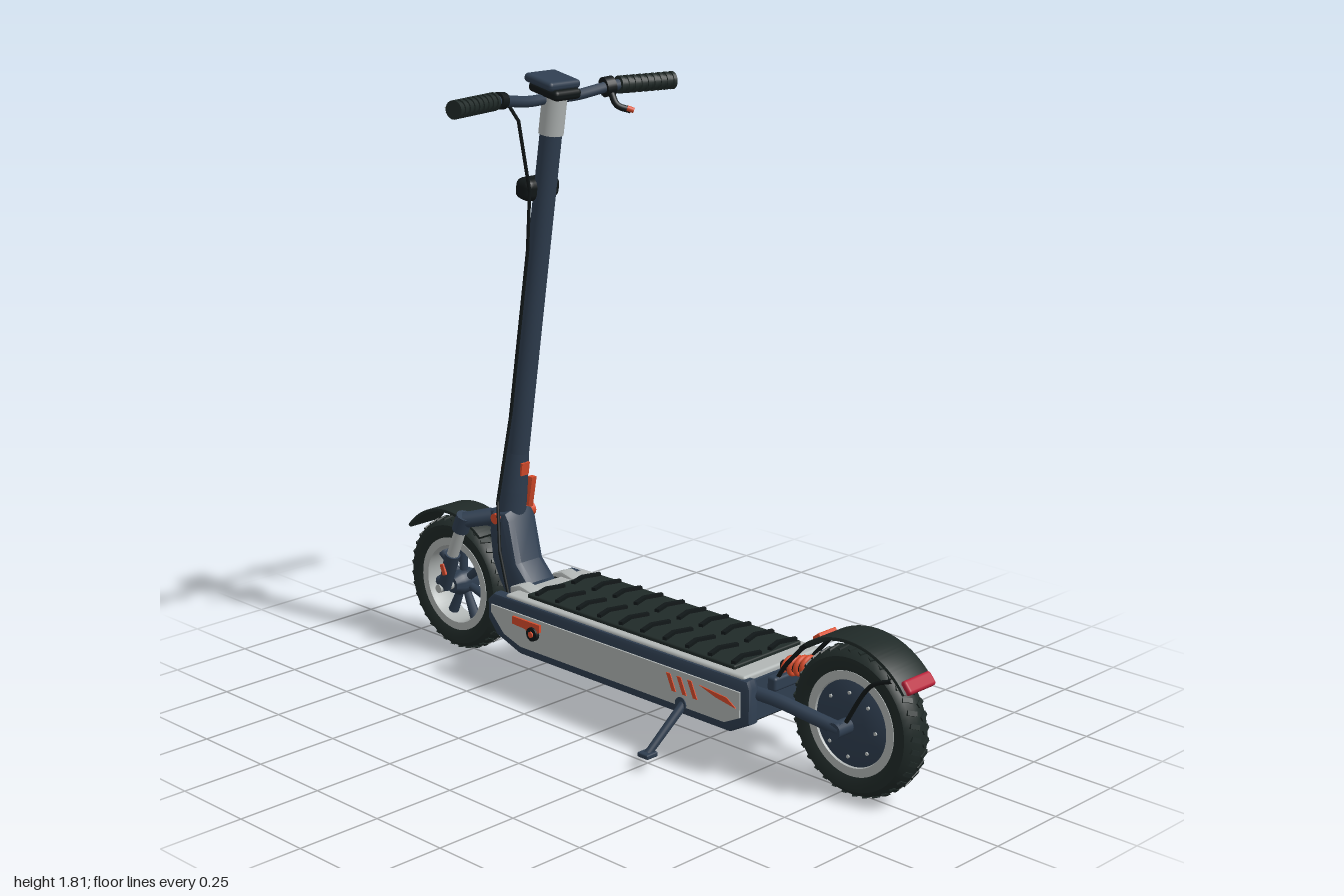
import * as THREE from 'three';
import { toCreasedNormals } from 'three/addons/utils/BufferGeometryUtils.js';
import { RoundedBoxGeometry } from 'three/addons/geometries/RoundedBoxGeometry.js';

const paint = (name, color, extra = {}) => Object.assign(new THREE.MeshStandardMaterial({ color, ...extra }), { name });

export function createModel() {
  const navy = paint('navy frame', 0x2f3e50);
  const rubber = paint('rubber', 0x202a28);
  const black = paint('black trim', 0x111718);
  const silver = paint('silver', 0xb2b7b6);
  const orange = paint('orange accent', 0xd84c2b);
  const red = paint('red lens', 0xb8223a);
  const lens = paint('lamp lens', 0xd6dad8);

  const model = new THREE.Group();
  model.name = 'kickScooter';
  const V = (x, y, z) => new THREE.Vector3(x, y, z);
  const UP = V(0, 1, 0);

  function add(name, geo, mat, pos = [0, 0, 0], rot = [0, 0, 0], parent = model) {
    const m = new THREE.Mesh(geo, mat);
    m.name = name;
    m.position.set(...pos);
    m.rotation.set(...rot);
    parent.add(m);
    return m;
  }
  const box = (name, mat, size, pos, rot, r = 0) =>
    add(name, r ? new RoundedBoxGeometry(...size, 2, r) : new THREE.BoxGeometry(...size), mat, pos, rot);
  // Tapered rod from a to b
  function rod(name, mat, a, b, ra, rb = ra, seg = 20) {
    const p = V(...a), q = V(...b);
    const m = add(name, new THREE.CylinderGeometry(rb, ra, p.distanceTo(q), seg), mat);
    m.position.copy(p).lerp(q, 0.5);
    m.quaternion.setFromUnitVectors(UP, q.sub(p).normalize());
    return m;
  }
  const tube = (name, mat, pts, r, n = 40) =>
    add(name, new THREE.TubeGeometry(new THREE.CatmullRomCurve3(pts.map(p => V(...p))), n, r, 10), mat);
  // Side outline given as [z, y], extruded across x and centred on x = cx
  function slab(name, mat, outline, width, cx = 0, bevel = 0) {
    const shape = outline instanceof THREE.Shape ? outline : new THREE.Shape(outline.map(p => new THREE.Vector2(...p)));
    const depth = width - 2 * bevel;
    const g = new THREE.ExtrudeGeometry(shape, {
      depth, curveSegments: 32, bevelEnabled: bevel > 0,
      bevelSize: bevel, bevelThickness: bevel, bevelOffset: -bevel, bevelSegments: 2,
    });
    g.translate(0, 0, -depth / 2).rotateY(-Math.PI / 2);
    return add(name, toCreasedNormals(g, 0.6), mat, [cx, 0, 0]);
  }
  const lathe = (pts, seg = 56) => toCreasedNormals(
    new THREE.LatheGeometry(pts.map(p => new THREE.Vector2(...p)), seg).rotateZ(Math.PI / 2), 0.6);
  const sides = fn => [-1, 1].forEach(fn);

  // Wheels, with tyres, treads and rims
  function wheel(name, z) {
    const g = new THREE.Group();
    g.name = name;
    g.position.set(0, 0.21, z);
    model.add(g);
    add('tyre', lathe([[0.142, -0.036], [0.165, -0.047], [0.186, -0.046], [0.2, -0.033], [0.206, -0.012],
      [0.206, 0.012], [0.2, 0.033], [0.186, 0.046], [0.165, 0.047], [0.142, 0.036]]), rubber, [0, 0, 0], [0, 0, 0], g);
    add('rim', lathe([[0.118, -0.03], [0.122, -0.04], [0.146, -0.04], [0.146, 0.04], [0.122, 0.04], [0.118, 0.03], [0.118, -0.03]]),
      silver, [0, 0, 0], [0, 0, 0], g);
    const lug = new THREE.BoxGeometry(0.03, 0.008, 0.013);
    for (let i = 0; i < 36; i++) sides(s => {
      const a = (i + s * 0.25) / 36 * Math.PI * 2;
      const m = add('treadLug', lug, rubber, [s * 0.02, Math.cos(a) * 0.203, Math.sin(a) * 0.203], [0, 0, 0], g);
      m.rotation.set(a, s * 0.4, -s * 0.2);
    });
    return g;
  }
  const front = wheel('frontWheel', -0.79);
  for (let i = 0; i < 7; i++) {
    const a = i / 7 * Math.PI * 2;
    add('spoke', new THREE.CylinderGeometry(0.017, 0.011, 0.105, 8), navy,
      [0, Math.cos(a) * 0.073, Math.sin(a) * 0.073], [a, 0, 0], front);
  }
  add('frontHub', lathe([[0, -0.05], [0.025, -0.05], [0.038, -0.025], [0.038, 0.025], [0.025, 0.05], [0, 0.05]], 28), navy, [0, 0, 0], [0, 0, 0], front);

  const rear = wheel('rearWheel', 0.79);
  add('hubMotor', lathe([[0, -0.052], [0.06, -0.05], [0.1, -0.042], [0.12, -0.034], [0.12, 0.034], [0.1, 0.042], [0.06, 0.05], [0, 0.052]]),
    navy, [0, 0, 0], [0, 0, 0], rear);
  for (let i = 0; i < 8; i++) sides(s => {
    const a = i / 8 * Math.PI * 2;
    add('motorBolt', new THREE.CylinderGeometry(0.005, 0.005, 0.01, 8), silver,
      [s * 0.043, Math.cos(a) * 0.09, Math.sin(a) * 0.09], [0, 0, Math.PI / 2], rear);
  });

  // Fenders: arcs measured in degrees from straight up, positive towards +z
  function fender(name, z, from, to) {
    const s = new THREE.Shape();
    const a0 = THREE.MathUtils.degToRad(90 - to), a1 = THREE.MathUtils.degToRad(90 - from);
    s.absarc(z, 0.21, 0.242, a0, a1, false);
    s.absarc(z, 0.21, 0.231, a1, a0, true);
    slab(name, rubber, s, 0.126, 0, 0.003);
  }
  fender('frontFender', -0.79, -50, 38);
  fender('rearFender', 0.79, -43, 54);
  box('tailLamp', red, [0.108, 0.04, 0.022], [0, 0.366, 0.98], [-0.7, 0, 0], 0.008);
  box('fenderAccent', orange, [0.07, 0.014, 0.03], [0, 0.418, 0.664], [-0.65, 0, 0], 0.004);
  sides(s => {
    tube('fenderStay', black, [[s * 0.064, 0.38, 0.945], [s * 0.067, 0.35, 0.88], [s * 0.07, 0.21, 0.79]], 0.006, 16);
    tube('fenderFrontStay', black, [[s * 0.06, 0.4, 0.65], [s * 0.06, 0.33, 0.585], [s * 0.05, 0.27, 0.54]], 0.006, 16);
  });

  // Deck
  slab('deckCore', navy, [[0.53, 0.285], [0.53, 0.17], [0.47, 0.132], [-0.36, 0.132], [-0.43, 0.18], [-0.43, 0.285]], 0.28);
  box('deckUnderside', black, [0.25, 0.012, 0.82], [0, 0.13, 0.05]);
  const railShape = [[0.535, 0.293], [0.545, 0.27], [0.545, 0.17], [0.47, 0.13], [-0.36, 0.13], [-0.46, 0.165], [-0.497, 0.21], [-0.497, 0.27], [-0.47, 0.293]];
  const panelShape = [[0.515, 0.258], [0.515, 0.185], [0.46, 0.158], [-0.35, 0.158], [-0.42, 0.18], [-0.475, 0.235], [-0.475, 0.258]];
  sides(s => {
    slab('sideRail', navy, railShape, 0.042, s * 0.145, 0.012);
    slab('sidePanel', silver, panelShape, 0.008, s * 0.167);
    slab('sideSwoosh', orange, [[0.505, 0.21], [0.47, 0.232], [0.37, 0.24], [0.43, 0.222]], 0.004, s * 0.172);
    [0.35, 0.31, 0.27].forEach(z => slab('sideStripe', orange,
      [[z + 0.012, 0.195], [z - 0.003, 0.195], [z - 0.025, 0.243], [z - 0.01, 0.243]], 0.004, s * 0.172));
    slab('portSurround', orange, [[-0.26, 0.248], [-0.26, 0.225], [-0.3, 0.205], [-0.32, 0.222], [-0.375, 0.225], [-0.375, 0.248]], 0.01, s * 0.173);
    rod('chargePort', black, [s * 0.165, 0.215, -0.288], [s * 0.184, 0.215, -0.288], 0.021);
    rod('portCap', orange, [s * 0.18, 0.215, -0.288], [s * 0.188, 0.215, -0.288], 0.009);
  });
  box('deckTrim', silver, [0.316, 0.022, 0.945], [0, 0.289, 0.048], [0, 0, 0], 0.008);
  box('gripMat', rubber, [0.272, 0.014, 0.82], [0, 0.304, 0.055], [0, 0, 0], 0.005);
  for (let i = 0; i < 10; i++) {
    const z = -0.33 + i * 0.086;
    sides(s => [[0.046, -1], [0.1, 1]].forEach(([x, d]) =>
      box('matChevron', black, [0.06, 0.012, 0.013], [s * x, 0.314, z], [0, -s * d * 0.3, 0])));
  }

  // Neck between deck and stem
  slab('neck', navy, [[-0.36, 0.29], [-0.437, 0.3], [-0.487, 0.35], [-0.517, 0.475], [-0.535, 0.5], [-0.6, 0.49],
    [-0.61, 0.43], [-0.6, 0.34], [-0.57, 0.28], [-0.49, 0.17], [-0.42, 0.155], [-0.36, 0.16]], 0.12, 0, 0.024);
  slab('neckBase', black, [[-0.4, 0.298], [-0.46, 0.292], [-0.485, 0.24], [-0.46, 0.18], [-0.4, 0.17]], 0.16, 0, 0.015);
  sides(s => slab('neckGusset', silver, [[-0.36, 0.302], [-0.42, 0.315], [-0.46, 0.3], [-0.46, 0.28], [-0.36, 0.28]], 0.05, s * 0.085, 0.008));

  // Stem leans along one line
  const stemZ = y => -0.565 + (y - 0.5) * 0.164;
  const on = (y, x = 0, dz = 0) => [x, y, stemZ(y) + dz];
  const lean = Math.atan(0.164);
  rod('stemFoot', navy, on(0.46), on(0.56), 0.045, 0.041, 28);
  rod('stemFlare', navy, on(0.56), on(0.68), 0.041, 0.034, 28);
  rod('stem', navy, on(0.66), on(1.65), 0.034, 0.032, 28);
  rod('stemCollar', silver, on(1.64), on(1.75), 0.036, 0.036, 28);
  box('stemBadge', orange, [0.03, 0.04, 0.008], on(0.63, 0, 0.037), [lean, 0, 0]);
  // Folding clamp
  rod('clampPivot', orange, on(0.475, -0.068), on(0.475, 0.072), 0.016);
  slab('foldLever', orange, [[-0.575, 0.46], [-0.59, 0.48], [-0.555, 0.585], [-0.535, 0.585], [-0.555, 0.48]], 0.02, 0.066, 0.003);
  rod('leverKnob', orange, on(0.475, 0.05), on(0.475, 0.084), 0.02);
  box('clampTab', orange, [0.03, 0.05, 0.012], on(0.6, 0, -0.042), [lean, 0, 0]);

  // Headlight
  box('headlightBody', black, [0.13, 0.064, 0.066], [0, 1.48, -0.436], [lean, 0, 0], 0.022);
  box('headlightLens', lens, [0.098, 0.042, 0.01], [0, 1.479, -0.469], [lean, 0, 0], 0.004);

  // Handlebar, grips and controls
  tube('handlebar', navy, [[-0.41, 1.757, -0.31], [-0.23, 1.757, -0.352], [-0.09, 1.74, -0.37], [0, 1.742, -0.372],
    [0.09, 1.74, -0.37], [0.23, 1.757, -0.352], [0.41, 1.757, -0.31]], 0.016);
  sides(s => {
    const at = t => [s * (0.24 + 0.18 * t), 1.757, -0.35 + 0.042 * t];
    rod('grip', rubber, at(0), at(1), 0.022);
    for (let i = 0; i <= 8; i++) rod('gripRib', rubber, at(i / 8.5), at((i + 0.5) / 8.5), 0.026);
  });
  box('displayBase', black, [0.1, 0.03, 0.12], [0, 1.765, -0.36], [0.2, 0, 0], 0.012);
  box('display', navy, [0.118, 0.026, 0.115], [0, 1.79, -0.37], [0.2, 0, 0], 0.011);
  rod('throttleClamp', black, [0.192, 1.753, -0.362], [0.22, 1.756, -0.355], 0.029);
  tube('thumbThrottle', black, [[0.205, 1.74, -0.345], [0.205, 1.705, -0.32], [0.235, 1.69, -0.295]], 0.01, 12);
  rod('throttleTip', orange, [0.222, 1.697, -0.297], [0.236, 1.69, -0.284], 0.008);
  rod('brakeClamp', black, [-0.222, 1.757, -0.355], [-0.195, 1.754, -0.36], 0.024);
  tube('brakeLever', silver, [[-0.215, 1.75, -0.362], [-0.26, 1.748, -0.393], [-0.32, 1.748, -0.4], [-0.385, 1.745, -0.388]], 0.008, 24);
  // Brake cable: straight runs with bends
  const cable = [[-0.16, 1.735, -0.375], [-0.13, 1.69, -0.37], on(1.48, -0.06), on(1.3, -0.044), on(0.8, -0.044),
    on(0.54, -0.08, 0.02), [-0.11, 0.4, -0.5], [-0.115, 0.28, -0.46]];
  for (let i = 1; i < cable.length; i++) rod('brakeCable', black, cable[i - 1], cable[i], 0.005, 0.005, 8);

  // Front fork, linkage and shocks
  slab('forkCrown', navy, [[-0.56, 0.5], [-0.63, 0.485], [-0.67, 0.46], [-0.66, 0.43], [-0.58, 0.43]], 0.085, 0, 0.012);
  sides(s => {
    rod('forkArm', navy, [s * 0.03, 0.465, -0.62], [s * 0.086, 0.45, -0.685], 0.026, 0.024);
    rod('forkShoulder', navy, [s * 0.086, 0.465, -0.68], [s * 0.086, 0.415, -0.703], 0.026);
    rod('forkShock', silver, [s * 0.086, 0.42, -0.7], [s * 0.086, 0.31, -0.748], 0.018);
    rod('forkLeg', navy, [s * 0.086, 0.33, -0.74], [s * 0.078, 0.21, -0.79], 0.024, 0.02);
    box('forkReflector', orange, [0.008, 0.036, 0.018], [s * 0.107, 0.28, -0.76], [-0.38, 0, 0], 0.003);
    rod('frontAxleNut', silver, [s * 0.045, 0.21, -0.79], [s * 0.104, 0.21, -0.79], 0.013);
  });

  // Rear swingarm and spring
  sides(s => {
    tube('swingArm', navy, [[s * 0.125, 0.25, 0.51], [s * 0.115, 0.245, 0.6], [s * 0.1, 0.225, 0.72], [s * 0.09, 0.212, 0.8]], 0.019, 20);
    rod('rearAxleNut', navy, [s * 0.05, 0.21, 0.79], [s * 0.108, 0.21, 0.79], 0.022);
  });
  rod('shockRod', black, [0, 0.29, 0.52], [0, 0.315, 0.64], 0.016);
  for (let i = 0; i < 4; i++)
    add('springCoil', new THREE.TorusGeometry(0.025, 0.007, 8, 20), orange, [0, 0.295 + i * 0.006, 0.54 + i * 0.022], [0.2, 0, 0]);
  box('shockMount', navy, [0.15, 0.04, 0.035], [0, 0.262, 0.54], [0, 0, 0], 0.008);

  // Kickstand
  rod('kickstandPivot', navy, [-0.12, 0.16, 0.3], [-0.175, 0.165, 0.3], 0.02);
  rod('kickstandLeg', navy, [-0.16, 0.17, 0.305], [-0.282, 0.047, 0.282], 0.013, 0.011);
  box('kickstandFoot', navy, [0.042, 0.014, 0.04], [-0.283, 0.046, 0.282], [0, 0, 0], 0.004);

  return model;
}
